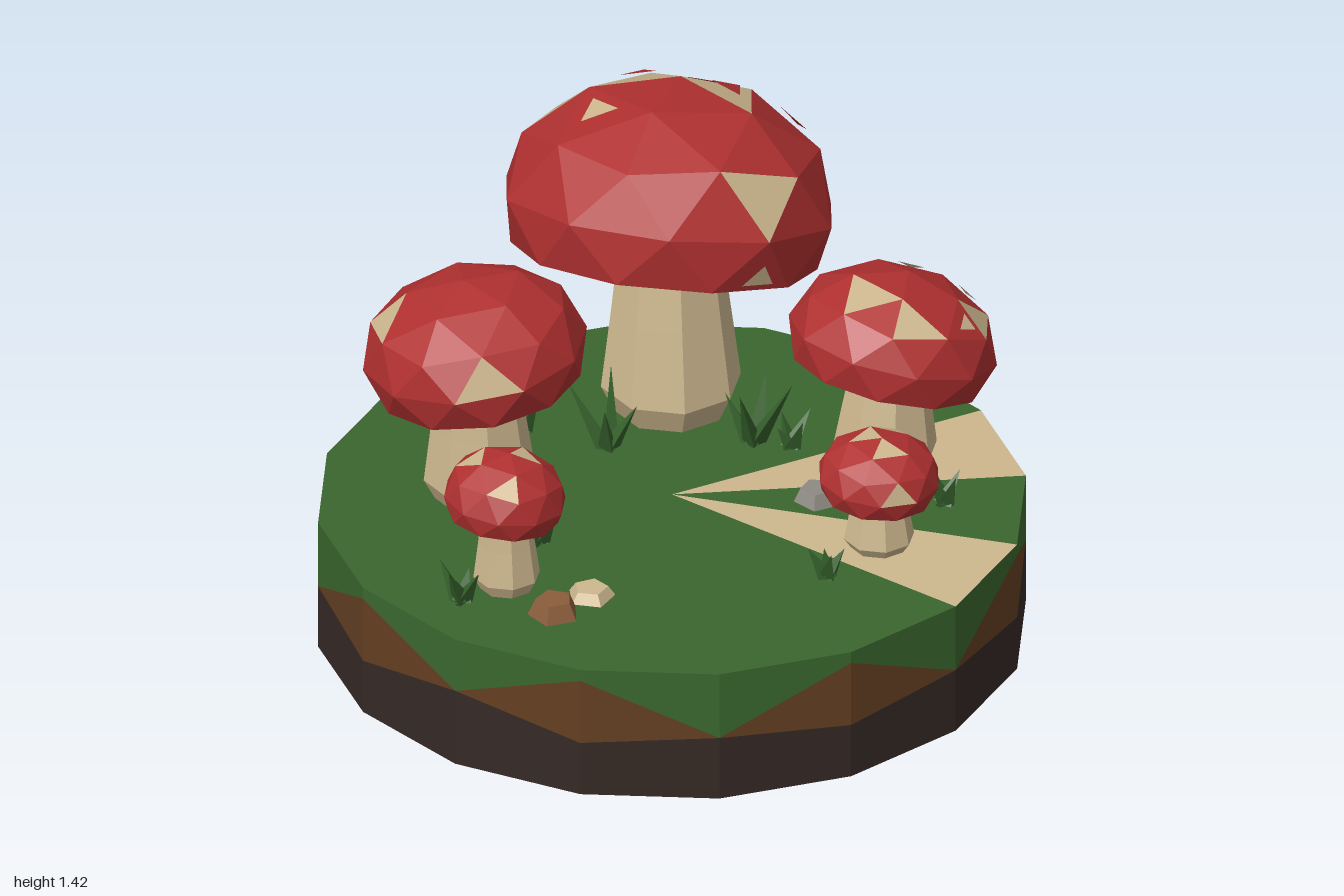
import * as THREE from 'three';

const V = (x, y, z) => new THREE.Vector3(x, y, z);
const material = (color) => new THREE.MeshStandardMaterial({ color, flatShading: true, side: THREE.DoubleSide });
const RED = material(0xb03030), CREAM = material(0xcdb78e), GREEN = material(0x3a662e), LEAF = material(0x35602c);
const BROWN = material(0x643f22), DARK = material(0x352925), CLAY = material(0x8a5d3c), GREY = material(0x8d8a82);

function mesh(name, geometry, mat) {
  const m = new THREE.Mesh(geometry, mat);
  m.name = name;
  return m;
}

// Flat-faced mesh from a list of [a, b, c] triangles; slivers without area are dropped
function faces(name, tris, mat) {
  const solid = tris.filter(([a, b, c]) => new THREE.Triangle(a, b, c).getArea() > 1e-7);
  const g = new THREE.BufferGeometry().setFromPoints(solid.flat());
  g.computeVertexNormals();
  return mesh(name, g, mat);
}

const quad = (a, b, c, d) => [[a, b, c], [a, c, d]];

// Round plot of earth: grass fan on top, zigzag soil bands round the side
function makeGround() {
  const g = new THREE.Group();
  g.name = 'ground';
  const N = 16, grass = [], path = [], turf = [], soil = [], earth = [];
  const at = (i, y) => {
    const a = 0.065 + (i / N) * Math.PI * 2;
    return V(Math.cos(a), y, Math.sin(a));
  };
  const turfY = (i) => (i % 2 ? 0.37 : 0.2 + 0.04 * (i % 8 === 4));
  const soilY = (i) => (i % 2 ? 0.17 : turfY(i));
  for (let i = 0; i < N; i++) {
    const n = (i + 1) % N;
    const band = (lo, hi) => quad(at(n, lo(n)), at(i, lo(i)), at(i, hi(i)), at(n, hi(n)));
    (i === 13 || i === 15 ? path : grass).push([V(0, 0.42, 0), at(n, 0.405), at(i, 0.405)]);
    turf.push(...band(turfY, () => 0.405));
    soil.push(...band(soilY, turfY));
    earth.push(...band(() => 0.005, soilY), [V(0, 0.01, 0), at(i, 0.005), at(n, 0.005)]);
  }
  g.add(faces('grassTop', grass, GREEN), faces('palePath', path, CREAM), faces('turfEdge', turf, GREEN),
    faces('soilBand', soil, BROWN), faces('darkEarth', earth, DARK));
  return g;
}

// Cap: a sphere of triangles with a flattened dome, a short lip and a hollow underside
function makeCap({ cap, r, dome, tilt, twist, patches, dots }) {
  const g = new THREE.Group();
  g.name = 'cap';
  const geo = new THREE.IcosahedronGeometry(1, 1);
  geo.rotateX(-Math.atan((1 + Math.sqrt(5)) / 2));
  const turn = new THREE.Euler(tilt[0], 0, tilt[1]);
  const p = geo.attributes.position;
  const points = [];
  for (let i = 0; i < p.count; i++) {
    const v = V(0, 0, 0).fromBufferAttribute(p, i);
    const radius = Math.hypot(v.x, v.z);
    let s = 1;
    if (v.y < -0.95) v.y = -0.2;
    else if (v.y < -0.7) { v.y = -0.24; s = 0.45 / radius; }
    else if (v.y < -0.3) { v.y = -0.32; s = 0.9 / radius; }
    else v.y *= dome;
    v.set(v.x * s, v.y, v.z * s).applyAxisAngle(V(0, 1, 0), twist);
    points.push(v);
  }
  const upper = [], under = [];
  for (let i = 0; i < points.length; i += 3) {
    const t = points.slice(i, i + 3);
    const below = t.every((v) => v.y < -0.15);
    t.forEach((v) => v.multiplyScalar(r).applyEuler(turn).add(V(...cap)));
    (below ? under : upper).push(t);
  }
  const mid = (t) => t[0].clone().add(t[1]).add(t[2]).divideScalar(3);
  const nearest = ([x, z]) => upper.map((t) => ({ t, m: mid(t) })).filter(({ m }) => m.y > cap[1] - 0.1 * r)
    .reduce((a, b) => (Math.hypot(a.m.x - x, a.m.z - z) < Math.hypot(b.m.x - x, b.m.z - z) ? a : b)).t;
  const pale = new Set(patches.map(nearest));

  // Small loose triangles hovering just over the cap, in the contrasting colour
  const paleDots = [], redDots = [];
  for (const t of new Set(dots.map(nearest))) {
    const m = mid(t);
    const n = new THREE.Triangle(...t).getNormal(V(0, 0, 0));
    const dot = t.map((v) => v.clone().sub(m).multiplyScalar(0.4).add(m).addScaledVector(n, 0.04 * r));
    (pale.has(t) ? redDots : paleDots).push(dot);
  }
  g.add(faces('capSkin', upper.filter((t) => !pale.has(t)), RED), faces('capPatches', [...pale], CREAM),
    faces('capUnderside', under, CREAM));
  if (paleDots.length) g.add(faces('paleSpots', paleDots, CREAM));
  if (redDots.length) g.add(faces('redSpots', redDots, RED));
  return g;
}

// Stem: swollen near the foot, sheared to reach the cap
function makeStem({ foot, cap, stem }) {
  const h = cap[1] - 0.41;
  const profile = [[0.8, 0], [1, 0.13], [0.85, 0.5], [0.66, 1]].map(([r, y]) => new THREE.Vector2(r * stem, y * h));
  const geo = new THREE.LatheGeometry(profile, 8);
  const p = geo.attributes.position;
  for (let i = 0; i < p.count; i++) {
    const k = (p.getY(i) / h) ** 1.5 * 0.8;
    p.setXYZ(i, p.getX(i) + foot[0] + k * (cap[0] - foot[0]), p.getY(i) + 0.41,
      p.getZ(i) + foot[1] + k * (cap[2] - foot[1]));
  }
  return mesh('stem', geo, CREAM);
}

const MUSHROOMS = [
  { name: 'largeMushroom', foot: [-0.29, -0.43], stem: 0.2, cap: [-0.31, 1.05, -0.45], r: 0.48, dome: 0.76,
    tilt: [-0.29, 0.08], twist: 0.25,
    patches: [[-0.62, -0.7], [-0.45, -0.78], [-0.1, -0.78], [-0.22, -0.65], [0.09, -0.33], [-0.68, -0.38], [-0.36, -0.55]],
    dots: [[-0.5, -0.56], [-0.16, -0.57], [-0.71, -0.48], [-0.49, -0.2], [0.08, -0.3], [-0.1, -0.8], [-0.4, -0.85]] },
  { name: 'frontLeftMushroom', foot: [-0.46, 0.28], stem: 0.16, cap: [-0.47, 0.88, 0.29], r: 0.32, dome: 0.69,
    tilt: [0.07, 0.13], twist: 0.1,
    patches: [[-0.72, 0.24], [-0.64, 0.42], [-0.32, 0.51]], dots: [[-0.72, 0.2]] },
  { name: 'backRightMushroom', foot: [0.38, -0.5], stem: 0.15, cap: [0.39, 0.79, -0.53], r: 0.3, dome: 0.7,
    tilt: [-0.27, -0.09], twist: 0.5,
    patches: [[0.4, -0.4], [0.55, -0.42], [0.6, -0.65]], dots: [[0.28, -0.72], [0.62, -0.53], [0.45, -0.75]] },
  { name: 'smallRightMushroom', foot: [0.63, -0.1], stem: 0.1, cap: [0.63, 0.635, -0.1], r: 0.175, dome: 0.7,
    tilt: [0, -0.08], twist: 0.3,
    patches: [[0.58, -0.08], [0.68, -0.05], [0.63, -0.2], [0.75, -0.02]], dots: [] },
  { name: 'smallFrontMushroom', foot: [-0.11, 0.67], stem: 0.095, cap: [-0.11, 0.7, 0.68], r: 0.175, dome: 0.8,
    tilt: [-0.08, -0.08], twist: 0.8,
    patches: [[-0.1, 0.6], [-0.2, 0.72], [-0.05, 0.75], [-0.15, 0.53]], dots: [] },
];

// Tuft of three-sided blades leaning outwards
function makeTuft([x, z, h]) {
  const g = new THREE.Group();
  g.name = 'grassTuft';
  for (let i = 0; i < 4; i++) {
    const tall = h * (1 - 0.15 * (i % 3));
    const geo = new THREE.ConeGeometry(0.032, tall, 3).translate(0, tall / 2, 0);
    const blade = mesh('blade', geo, LEAF);
    blade.rotation.set(0, x * 9 + i * 1.6, -0.5, 'YXZ');
    g.add(blade);
  }
  g.position.set(x, 0.405, z);
  return g;
}

export function createModel() {
  const model = new THREE.Group();
  model.name = 'mushroomPatch';
  model.add(makeGround());

  for (const spec of MUSHROOMS) {
    const g = new THREE.Group();
    g.name = spec.name;
    g.add(makeStem(spec), makeCap(spec));
    model.add(g);
  }

  [[-0.17, 0.42, 0.14], [-0.17, 0.81, 0.14], [0.61, 0.13, 0.12], [0.65, -0.4, 0.13],
    [-0.56, -0.08, 0.14], [-0.3, -0.13, 0.24], [0.02, -0.38, 0.25], [0.12, -0.42, 0.13]]
    .forEach((t) => model.add(makeTuft(t)));

  // Pebbles: [x, z, size, height, material]
  [[0.09, 0.73, 0.075, 0.05, CLAY], [0.12, 0.59, 0.07, 0.03, CREAM], [0.35, -0.21, 0.07, 0.045, GREY]]
    .forEach(([x, z, s, h, mat], i) => {
      const pebble = mesh('pebble', new THREE.CylinderGeometry(s * 0.7, s, h, 5), mat);
      pebble.position.set(x, 0.41 + h / 2, z);
      pebble.rotation.y = i * 0.7 + 0.3;
      model.add(pebble);
    });
  return model;
}
